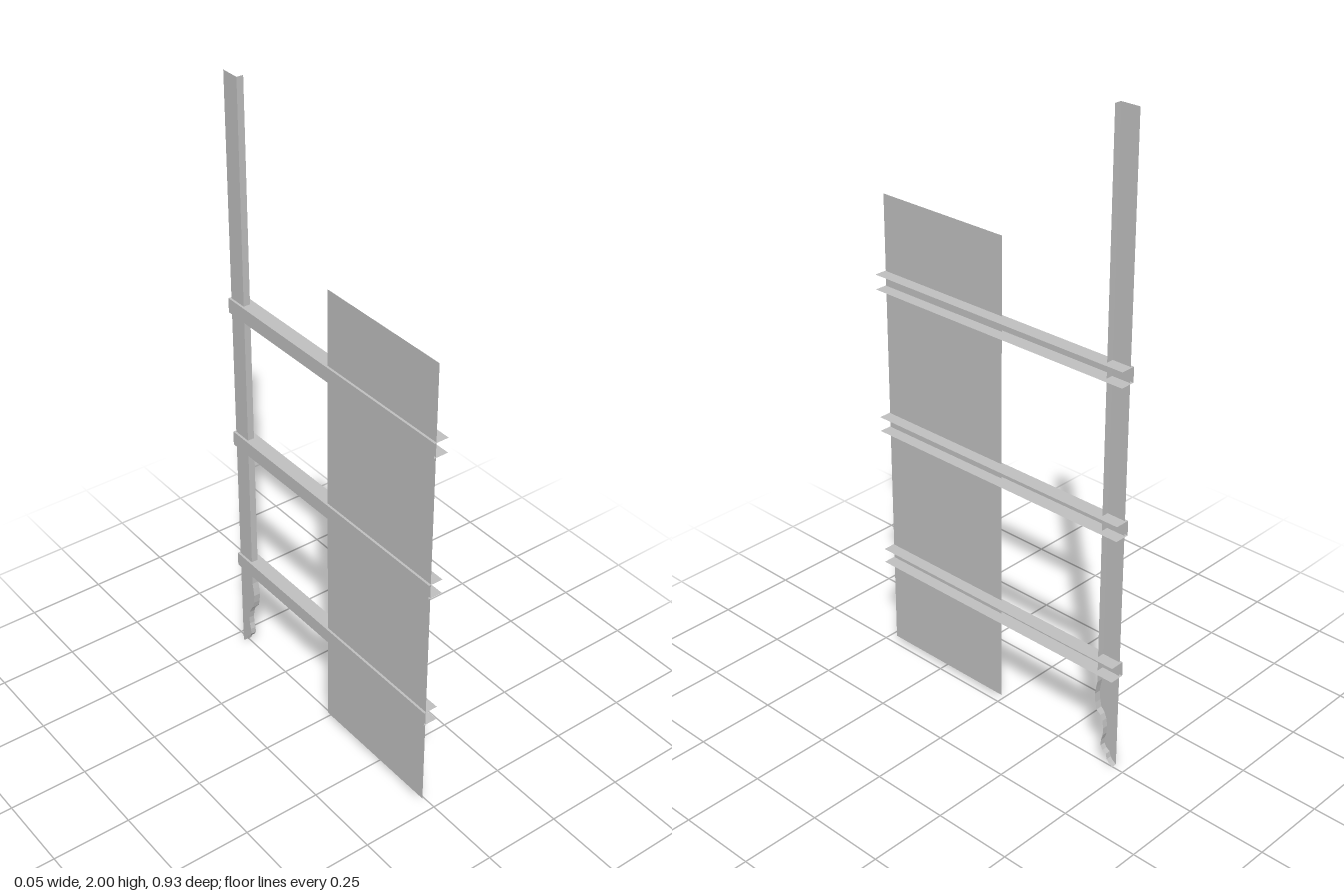
import * as THREE from 'three';

const steel = new THREE.MeshStandardMaterial({ color: 0xc0c0c0, side: THREE.DoubleSide });
steel.name = 'plain grey';

// Flat-faced sheet metal strip stretched between two matching polylines
function ribbon(name, a, b) {
  const pos = [];
  for (let i = 0; i < a.length - 1; i++) {
    pos.push(...a[i], ...b[i], ...b[i + 1], ...a[i], ...b[i + 1], ...a[i + 1]);
  }
  const geo = new THREE.BufferGeometry();
  geo.setAttribute('position', new THREE.Float32BufferAttribute(pos, 3));
  geo.computeVertexNormals();
  const mesh = new THREE.Mesh(geo, steel);
  mesh.name = name;
  return mesh;
}

// Upright sheet facing +x, outlined by [z, y] points
function sideSheet(name, points, x) {
  const shape = new THREE.Shape(points.map(([z, y]) => new THREE.Vector2(-z, y)));
  const geo = new THREE.ShapeGeometry(shape).rotateY(Math.PI / 2).translate(x, 0, 0);
  const mesh = new THREE.Mesh(geo, steel);
  mesh.name = name;
  return mesh;
}

export function createModel() {
  const model = new THREE.Group();
  model.name = 'brokenPanelFrame';
  const plateX = -0.016;

  // Tall flat board
  model.add(sideSheet('board', [[0.465, 0.016], [0, 0.016], [0, 1.536], [0.465, 1.536]], plateX));

  // Three horizontal channels, open towards +x
  const half = 0.0235, end = 0.467;
  for (const y of [0.339, 0.806, 1.273]) {
    const section = [[half, half], [-half, half], [-half, -half], [half, -half]];
    const at = z => section.map(([dx, dy]) => [dx, y + dy, z]);
    model.add(ribbon('channelRail', at(end), at(-end)));
  }

  // Angle-section post whose foot is torn away along a ragged edge, as [z, y]
  const back = -0.462;
  const torn = [
    [-0.4, 0.275], [-0.396, 0.255], [-0.392, 0.23], [-0.395, 0.2], [-0.4, 0.178],
    [-0.413, 0.163], [-0.42, 0.145], [-0.424, 0.12], [-0.423, 0.095], [-0.417, 0.075],
    [-0.416, 0.055], [-0.424, 0.042], [-0.437, 0.035], [-0.441, 0.018], [-0.451, 0.007], [back, 0],
  ];
  const edge = [[-0.4, 2], ...torn];
  const post = new THREE.Group();
  post.name = 'post';
  post.add(sideSheet('postWeb', [[back, 2], ...edge], plateX));
  post.add(ribbon('postFlange',
    edge.map(([z, y]) => [plateX, y, z]),
    edge.map(([z, y]) => [y > 0.17 ? 0.006 : 0.002, y, z])));
  model.add(post);

  return model;
}
